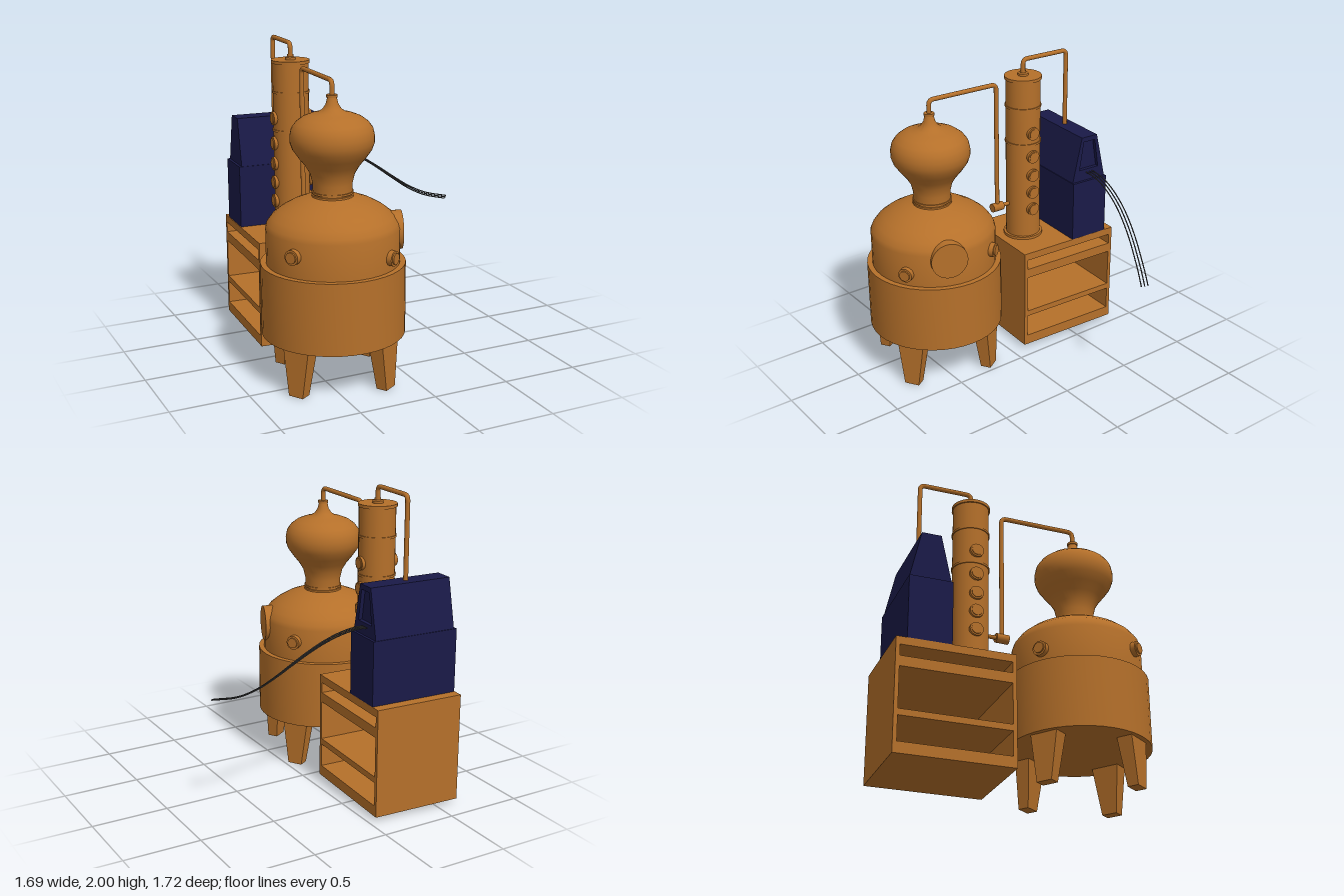
import * as THREE from 'three';
import { toCreasedNormals } from 'three/addons/utils/BufferGeometryUtils.js';

const copper = new THREE.MeshStandardMaterial({ color: 0xb5702a });
const navy = new THREE.MeshStandardMaterial({ color: 0x1a1a48 });
const cable = new THREE.MeshStandardMaterial({ color: 0x444444 });
const V = (x, y, z) => new THREE.Vector3(x, y, z);

function add(parent, name, geo, mat, x = 0, y = 0, z = 0) {
  const m = new THREE.Mesh(geo, mat);
  m.name = name;
  m.position.set(x, y, z);
  parent.add(m);
  return m;
}

function group(parent, name, x, z, angle = 0) {
  const g = new THREE.Group();
  g.name = name;
  g.position.set(x, 0, z);
  g.rotation.y = angle;
  parent.add(g);
  return g;
}

// Turned part from [radius, height] pairs, bottom to top
function lathe(profile, segments = 40) {
  const pts = profile.map(([r, y]) => new THREE.Vector2(r, y));
  return toCreasedNormals(new THREE.LatheGeometry(pts, segments), 0.6);
}

// Box spanning given ranges
function slab(parent, name, mat, w, y0, y1, z0, z1) {
  return add(parent, name, new THREE.BoxGeometry(w, y1 - y0, z1 - z0), mat, 0, (y0 + y1) / 2, (z0 + z1) / 2);
}

// Cylinder lying along x from x0 to x1
function rod(parent, name, r, x0, x1, y, z = 0) {
  const geo = new THREE.CylinderGeometry(r, r, x1 - x0, 24).rotateZ(-Math.PI / 2);
  return add(parent, name, geo, copper, (x0 + x1) / 2, y, z);
}

// Pipe through points with rounded bends
function pipe(parent, name, points, r, bend = 0.035) {
  const path = new THREE.CurvePath();
  let from = points[0];
  for (let i = 1; i < points.length - 1; i++) {
    const p = points[i];
    const a = p.clone().add(points[i - 1].clone().sub(p).setLength(bend));
    const b = p.clone().add(points[i + 1].clone().sub(p).setLength(bend));
    path.add(new THREE.LineCurve3(from, a));
    path.add(new THREE.QuadraticBezierCurve3(a, p, b));
    from = b;
  }
  path.add(new THREE.LineCurve3(from, points[points.length - 1]));
  add(parent, name, new THREE.TubeGeometry(path, 120, r, 12), copper);
}

function buildPot(root) {
  const pot = group(root, 'pot', -0.405, 0.42);
  add(pot, 'jacket', lathe([[0, 0.3], [0.445, 0.3], [0.445, 0.75], [0.4, 0.75]]), copper);
  add(pot, 'boilerDome', lathe([[0.41, 0.74], [0.41, 0.97], [0.4, 1.0], [0.37, 1.04], [0.32, 1.08],
    [0.25, 1.12], [0.18, 1.147], [0.11, 1.165]]), copper);
  add(pot, 'neckFlange', lathe([[0.1, 1.16], [0.127, 1.16], [0.127, 1.172], [0.12, 1.174],
    [0.12, 1.178], [0.127, 1.18], [0.127, 1.192], [0.1, 1.192]]), copper);
  add(pot, 'onionHead', lathe([[0.12, 1.18], [0.121, 1.24], [0.135, 1.3], [0.165, 1.35], [0.205, 1.4],
    [0.24, 1.45], [0.254, 1.49], [0.255, 1.53], [0.245, 1.575], [0.22, 1.61], [0.18, 1.64], [0.13, 1.66],
    [0.085, 1.672], [0.057, 1.69], [0.038, 1.72], [0.027, 1.765]]), copper);
  add(pot, 'headFlange', new THREE.CylinderGeometry(0.034, 0.034, 0.016, 24), copper, 0, 1.768, 0);

  // Four tapered legs, with a port above each
  const offset = THREE.MathUtils.degToRad(32);
  for (let i = 0; i < 4; i++) {
    const side = group(pot, 'legAndPort', 0, 0, offset + i * Math.PI / 2);
    const geo = new THREE.BoxGeometry(1, 0.3, 1);
    const p = geo.attributes.position;
    for (let k = 0; k < p.count; k++) {
      const top = p.getY(k) > 0;
      const outer = top ? 0.41 : 0.415, inner = top ? 0.31 : 0.345;
      p.setZ(k, p.getZ(k) > 0 ? outer : inner);
      p.setX(k, Math.sign(p.getX(k)) * (top ? 0.09 : 0.05));
    }
    geo.computeVertexNormals();
    add(side, 'leg', geo, copper, 0, 0.15, 0);
    const y = i % 2 ? 0.885 : 0.835;
    const port = group(side, 'port', 0, 0, -Math.PI / 2);
    rod(port, 'portRing', 0.047, 0.37, 0.44, y);
    rod(port, 'portCap', 0.034, 0.37, 0.45, y);
  }

  // Round access hatch
  const hatch = group(pot, 'hatch', 0, 0, -THREE.MathUtils.degToRad(19));
  const lid = rod(hatch, 'hatchLid', 0.12, 0.33, 0.42, 0.932);
  lid.geometry = new THREE.CylinderGeometry(0.12, 0.12, 0.09, 36).rotateZ(-Math.PI / 2);
}

function buildCabinet(root) {
  const cab = group(root, 'cabinet', -0.36, -0.475, -0.05);
  slab(cab, 'frontPanel', copper, 0.6, 0.03, 0.74, 0.345, 0.37);
  slab(cab, 'backPanel', copper, 0.6, 0.03, 0.74, -0.37, -0.345);
  const shelves = [[0.03, 0.1], [0.255, 0.295], [0.555, 0.62], [0.69, 0.74]];
  for (const [a, b] of shelves) slab(cab, 'shelf', copper, 0.6, a, b, -0.345, 0.345);
}

function buildColumn(root) {
  const col = group(root, 'column', -0.37, -0.295, -0.05);
  add(col, 'columnTube', lathe([[0.133, 0.74], [0.133, 0.758], [0.116, 0.758], [0.116, 1.865],
    [0.124, 1.865], [0.124, 1.885], [0, 1.885]], 32), copper);
  for (const y of [1.43, 1.68])
    add(col, 'jointRing', new THREE.CylinderGeometry(0.122, 0.122, 0.014, 32), copper, 0, y, 0);
  add(col, 'capFlange', lathe([[0.035, 1.88], [0.035, 1.9], [0.02, 1.905], [0.02, 1.92]], 24), copper);

  // Sight glasses pass through to both sides
  for (const y of [0.96, 1.085, 1.21, 1.345, 1.51]) {
    rod(col, 'sightGlassRing', 0.044, -0.13, 0.13, y);
    rod(col, 'sightGlass', 0.034, -0.135, 0.135, y);
  }
}

function buildPipes(root) {
  pipe(root, 'vapourPipe', [V(-0.405, 1.76, 0.42), V(-0.405, 1.86, 0.42),
    V(-0.382, 1.86, -0.085), V(-0.382, 0.985, -0.085)], 0.015);
  pipe(root, 'condenserPipe', [V(-0.37, 1.89, -0.295), V(-0.37, 1.99, -0.295),
    V(-0.352, 1.99, -0.64), V(-0.352, 1.45, -0.64)], 0.015);
  const inlet = group(root, 'columnInlet', -0.382, -0.085, Math.PI / 2);
  rod(inlet, 'inletValve', 0.03, -0.042, 0.042, 0.985);
  rod(inlet, 'inletPipe', 0.013, 0, 0.13, 0.985);
}

function buildCondenser(root) {
  const box = group(root, 'condenser', -0.35, -0.64, -0.05);
  slab(box, 'condenserBody', navy, 0.595, 0.74, 1.155, -0.137, 0.137);

  // Tapered hood, with a recessed window in its left end
  const trapezoid = (Type, y0, w0, y1, w1) => {
    const s = new Type();
    s.moveTo(-w0, y0).lineTo(w0, y0).lineTo(w1, y1).lineTo(-w1, y1).closePath();
    return s;
  };
  const hood = (name, hole, x0, x1) => {
    const s = trapezoid(THREE.Shape, 1.155, 0.132, 1.468, 0.062);
    if (hole) s.holes.push(trapezoid(THREE.Path, 1.235, 0.077, 1.435, 0.045));
    const geo = new THREE.ExtrudeGeometry(s, { depth: x1 - x0, bevelEnabled: false });
    add(box, name, geo.rotateY(Math.PI / 2), navy, x0, 0, 0);
  };
  hood('hood', false, -0.28, 0.255);
  hood('hoodWindowFrame', true, 0.255, 0.28);
}

// Three slack hoses running off to the left
function buildHoses(root) {
  const path = [[-0.1, 1.21, -0.633], [0, 1.21, -0.625], [0.1, 1.19, -0.617], [0.2, 1.152, -0.603],
    [0.3, 1.098, -0.585], [0.4, 1.03, -0.56], [0.5, 0.955, -0.527], [0.6, 0.885, -0.483],
    [0.7, 0.838, -0.428], [0.825, 0.817, -0.342]];
  for (const k of [-1, 0, 1]) {
    const pts = path.map(([x, y, z], i) => {
      const t = i / (path.length - 1);
      return V(x - k * 0.014 * t, y - k * 0.005 * t, z + k * (0.024 - 0.009 * t));
    });
    add(root, 'hose', new THREE.TubeGeometry(new THREE.CatmullRomCurve3(pts), 60, 0.004, 8), cable);
  }
}

export function createModel() {
  const root = new THREE.Group();
  root.name = 'distillery';
  buildPot(root);
  buildCabinet(root);
  buildColumn(root);
  buildPipes(root);
  buildCondenser(root);
  buildHoses(root);
  return root;
}
